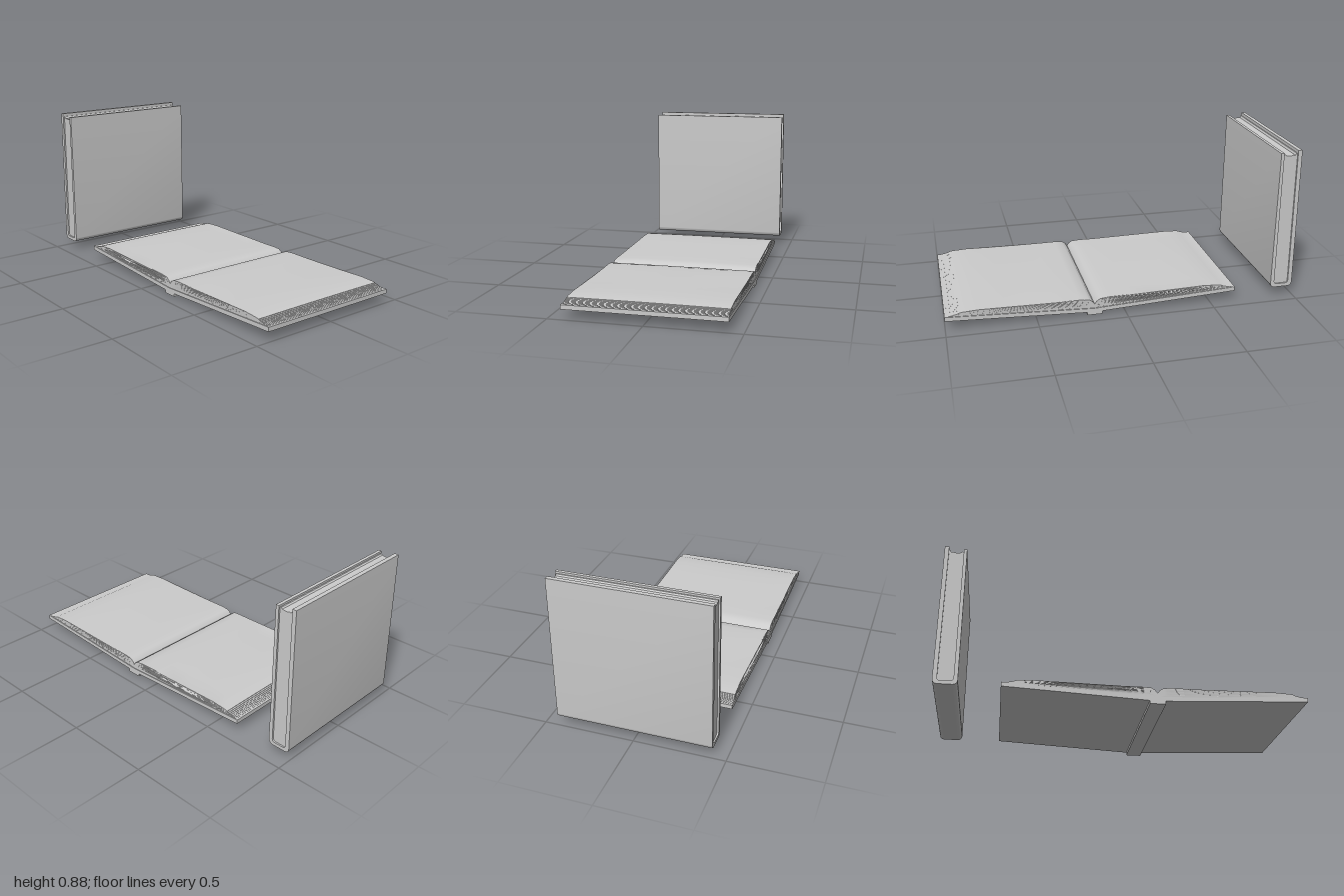
import * as THREE from 'three';
import { toCreasedNormals } from 'three/addons/utils/BufferGeometryUtils.js';

const material = new THREE.MeshStandardMaterial({ color: 0xcccccc, side: THREE.DoubleSide });
const HALF = 0.427; // half the height of the books along z

// Extrudes an xy outline along z, centred on z = 0; bend() may move each vertex.
function slab(name, shape, halfDepth, steps = 1, bend = null) {
  const geo = new THREE.ExtrudeGeometry(shape, {
    depth: halfDepth * 2, steps, bevelEnabled: false, curveSegments: 6,
  });
  geo.translate(0, 0, -halfDepth);
  if (bend) {
    const p = geo.attributes.position;
    const v = new THREE.Vector3();
    for (let i = 0; i < p.count; i++) {
      bend(v.fromBufferAttribute(p, i));
      p.setXYZ(i, v.x, v.y, v.z);
    }
  }
  const mesh = new THREE.Mesh(toCreasedNormals(geo, 0.5), material);
  mesh.name = name;
  return mesh;
}

const polygon = (pts) => new THREE.Shape(pts.map(([x, y]) => new THREE.Vector2(x, y)));

// Standing closed book with its spine at the bottom
function closedBook() {
  const group = new THREE.Group();
  group.name = 'closedBook';

  // Case: two boards joined by a rounded spine
  const c = new THREE.Shape();
  c.moveTo(-1, 0.875);
  c.lineTo(-1, 0.075);
  c.quadraticCurveTo(-0.998, 0.052, -0.975, 0.05);
  c.lineTo(-0.895, 0.05);
  c.quadraticCurveTo(-0.871, 0.052, -0.869, 0.075);
  c.lineTo(-0.877, 0.863);
  c.lineTo(-0.895, 0.863);
  c.lineTo(-0.891, 0.085);
  c.quadraticCurveTo(-0.893, 0.071, -0.905, 0.07);
  c.lineTo(-0.965, 0.07);
  c.quadraticCurveTo(-0.975, 0.071, -0.976, 0.085);
  c.lineTo(-0.976, 0.875);
  group.add(slab('closedCover', c, HALF));

  // Page block with a hollow, slightly wavy fore-edge
  group.add(slab('closedPages', polygon([
    [-0.977, 0.069], [-0.889, 0.069], [-0.894, 0.852], [-0.903, 0.853], [-0.91, 0.846],
    [-0.935, 0.842], [-0.952, 0.847], [-0.964, 0.845], [-0.97, 0.857], [-0.977, 0.857],
  ]), HALF - 0.009));
  return group;
}

// Open book lying on its spine
function openBook() {
  const group = new THREE.Group();
  group.name = 'openBook';
  const middle = 0.176, width = 0.824, leaves = 9;

  const spine = new THREE.Mesh(new THREE.BoxGeometry(0.085, 0.02, HALF * 2), material);
  spine.name = 'openSpine';
  spine.position.set(middle, 0.01, 0);
  group.add(spine);

  // Height of the opened page surface, from the gutter (u = 0) to the fore-edge (u = 1)
  const surface = [[0, 0.062], [0.015, 0.08], [0.04, 0.093], [0.1, 0.098],
    [0.4, 0.102], [0.78, 0.106], [0.88, 0.1], [1, 0.084]];
  const topY = (u) => {
    const i = Math.max(1, surface.findIndex(([s]) => s >= u));
    const [a, b] = [surface[i - 1], surface[i]];
    return THREE.MathUtils.mapLinear(u, a[0], b[0], a[1], b[1]);
  };
  const boardY = (u) => 0.037 + 0.041 * u;
  const levels = [0, 0.015, 0.04, 0.1, 0.25, 0.4, 0.6, 0.78, 0.88];

  for (const side of [-1, 1]) {
    const label = side < 0 ? 'right' : 'left';
    const X = (u) => middle + side * width * u;

    // Sloping cover board
    group.add(slab(label + 'Board', polygon([
      [X(0), 0.015], [X(1), 0.055], [X(1), 0.079], [X(0), 0.038],
    ]), HALF));

    // Fanned stack of leaves, each set back a little from the one beneath
    for (let k = 0; k < leaves; k++) {
      const end = 0.995 - 0.09 * k / (leaves - 1);
      const us = [...levels, end];
      const line = (f) => us.map((u) => [X(u), THREE.MathUtils.lerp(boardY(u), topY(u), f)]);
      const outline = [...line(k / leaves), ...line((k + 1) / leaves).reverse()];
      const f = (k + 1) / leaves;
      group.add(slab(label + 'Leaf' + (k + 1), polygon(outline), HALF - 0.004, 8, (v) => {
        const u = Math.abs(v.x - middle) / width;
        const r = v.z / HALF;
        // Crown along the height of the page and a slight inward bow of its ends
        v.y -= 0.006 * f * r * r * Math.sin(Math.PI * u);
        v.z *= 1 - (side < 0 ? 0.025 : 0.006) * f * Math.sin(Math.PI * u);
      }));
    }
  }
  return group;
}

export function createModel() {
  const model = new THREE.Group();
  model.name = 'books';
  model.add(closedBook(), openBook());
  return model;
}
